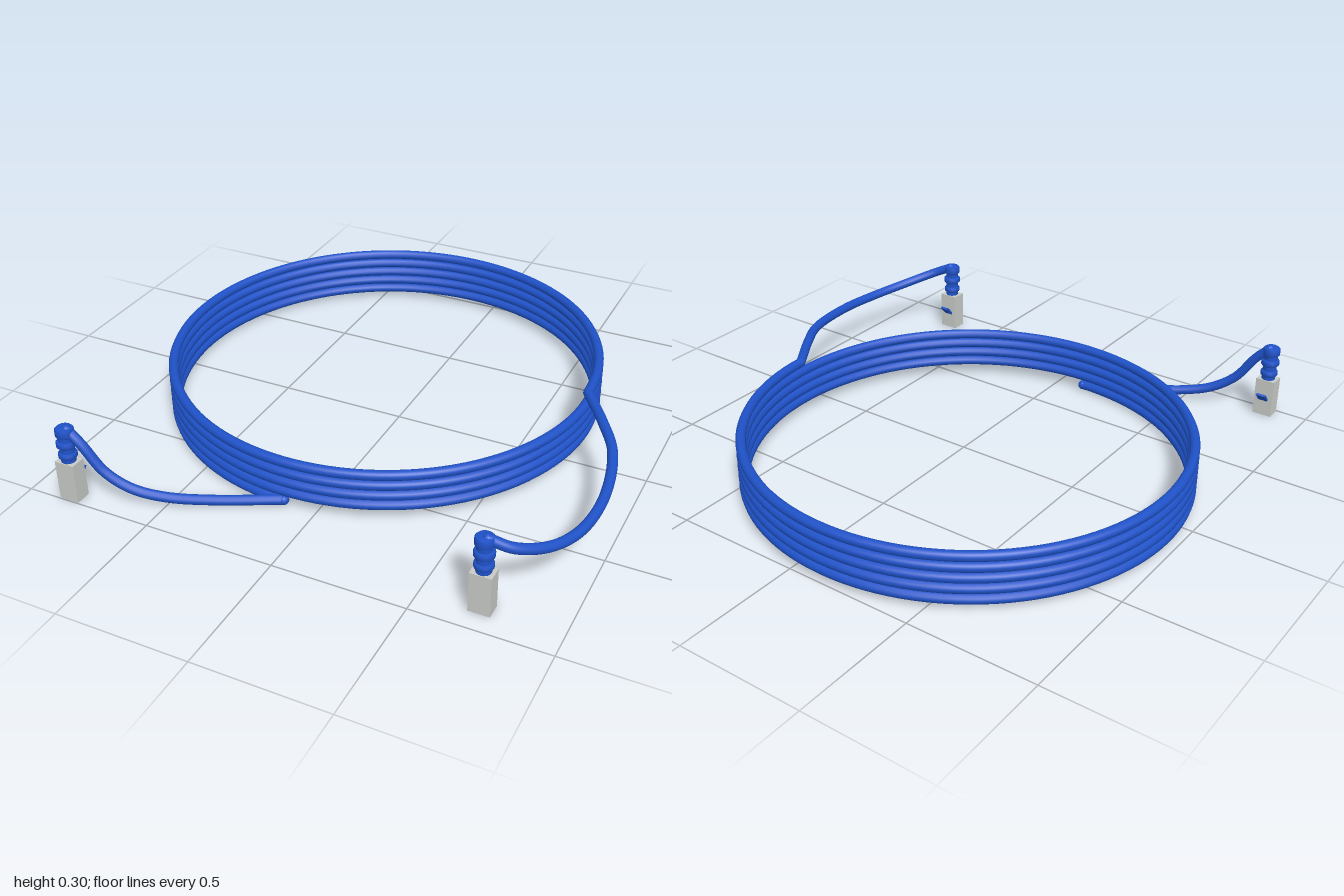
import * as THREE from 'three';

const blue = new THREE.MeshStandardMaterial({ color: 0x1f52c8 });
blue.name = 'cable blue';
const grey = new THREE.MeshStandardMaterial({ color: 0xc6cac6 });
grey.name = 'plug grey';

const CABLE_R = 0.019;

// Rising coil: starts at the front, runs to the left edge, back and right
class Coil extends THREE.Curve {
  getPoint(t, target = new THREE.Vector3()) {
    const turns = 4.75 * t;
    const a = turns * Math.PI * 2;
    return target.set(-0.125 - 0.837 * Math.sin(a), 0.023 + 0.0418 * turns, -0.145 + 0.837 * Math.cos(a));
  }
}

function addMesh(parent, name, geometry, material, x = 0, y = 0, z = 0) {
  const mesh = new THREE.Mesh(geometry, material);
  mesh.name = name;
  mesh.position.set(x, y, z);
  parent.add(mesh);
  return mesh;
}

// Round cable along a curve, closed with a rounded tip at each end
function addCable(parent, name, curve, segments) {
  const cable = new THREE.Group();
  cable.name = name;
  addMesh(cable, name + 'Tube', new THREE.TubeGeometry(curve, segments, CABLE_R, 12), blue);
  for (const t of [0, 1]) {
    const p = curve.getPoint(t);
    addMesh(cable, name + 'Tip', new THREE.SphereGeometry(CABLE_R, 12, 8), blue, p.x, p.y, p.z);
  }
  parent.add(cable);
}

const path = (points) => new THREE.CatmullRomCurve3(points.map((p) => new THREE.Vector3(...p)));

// Upright plug with a ribbed strain relief on top and a slanted latch behind
function addConnector(parent, name, x, z) {
  const connector = new THREE.Group();
  connector.name = name;
  connector.position.set(x, 0, z);
  addMesh(connector, 'plugBody', new THREE.BoxGeometry(0.078, 0.156, 0.06), grey, 0, 0.078, 0);
  addMesh(connector, 'bootCore', new THREE.CylinderGeometry(0.027, 0.027, 0.13, 20), blue, 0, 0.22, 0);
  for (const [y, r, h] of [[0.183, 0.034, 0.026], [0.229, 0.036, 0.028], [0.277, 0.034, 0.036]]) {
    const b = 0.006;
    const profile = [[0, -h / 2], [r - b, -h / 2], [r, b - h / 2], [r, h / 2 - b], [r - b, h / 2], [0, h / 2]];
    const rib = new THREE.LatheGeometry(profile.map((p) => new THREE.Vector2(...p)), 20);
    addMesh(connector, 'bootRib', rib, blue, 0, y, 0);
  }
  const latch = addMesh(connector, 'latch', new THREE.BoxGeometry(0.04, 0.046, 0.009), blue, 0, 0.085, -0.043);
  latch.rotation.x = -0.75;
  parent.add(connector);
}

export function createModel() {
  const model = new THREE.Group();
  model.name = 'coiledCable';

  addCable(model, 'coil', new Coil(), 570);

  // Loose ends rising from the coil into the connectors
  addCable(model, 'lowerTail', path([
    [-0.125, 0.023, 0.69], [-0.35, 0.026, 0.805], [-0.5, 0.037, 0.873], [-0.61, 0.067, 0.915],
    [-0.7, 0.13, 0.942], [-0.775, 0.235, 0.957], [-0.825, 0.285, 0.962],
  ]), 80);
  addCable(model, 'upperTail', path([
    [0.712, 0.222, -0.145], [0.82, 0.222, 0.02], [0.905, 0.21, 0.17], [0.955, 0.195, 0.42],
    [0.94, 0.193, 0.62], [0.885, 0.212, 0.76], [0.8, 0.25, 0.86], [0.725, 0.285, 0.893],
  ]), 90);

  addConnector(model, 'rightConnector', -0.833, 0.965);
  addConnector(model, 'leftConnector', 0.717, 0.895);
  return model;
}
